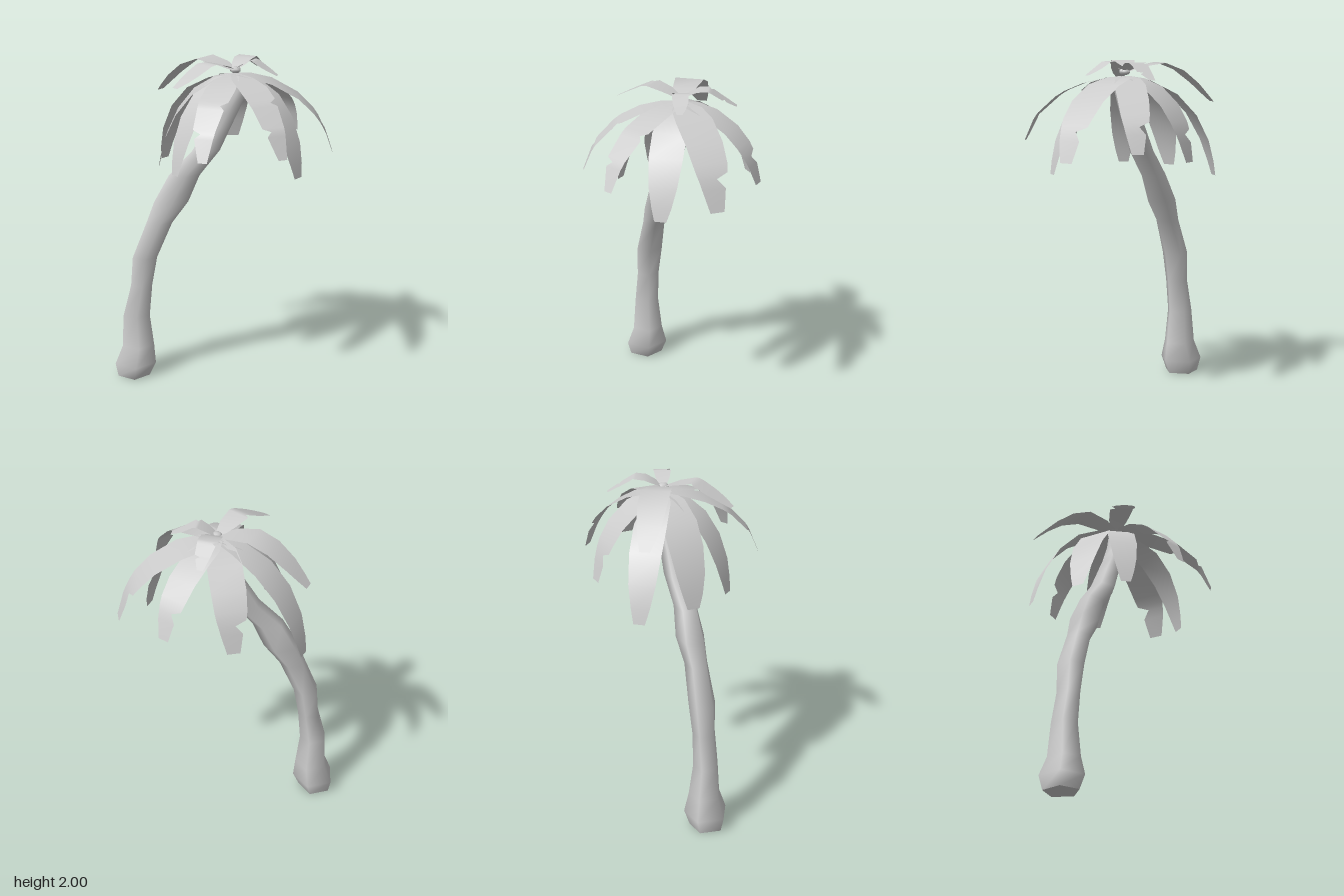
import * as THREE from 'three';

const CROWN = new THREE.Vector3(0.08, 1.91, -0.055);

function meshFrom(name, positions, index, material) {
  const geo = new THREE.BufferGeometry();
  geo.setAttribute('position', new THREE.Float32BufferAttribute(positions, 3));
  geo.setIndex(index);
  geo.computeVertexNormals();
  const mesh = new THREE.Mesh(geo, material);
  mesh.name = name;
  return mesh;
}

// Five-sided trunk lofted through level rings: [x, y, z, x radius, z radius]
function makeTrunk(material) {
  const rings = [
    [-0.546, 0, -0.042, 0.103, 0.107], [-0.535, 0.085, -0.043, 0.132, 0.134],
    [-0.516, 0.2, -0.043, 0.103, 0.097], [-0.523, 0.4, -0.04, 0.085, 0.077],
    [-0.488, 0.6, -0.04, 0.068, 0.071], [-0.465, 0.78, -0.042, 0.078, 0.083],
    [-0.375, 1, -0.04, 0.082, 0.07], [-0.302, 1.135, -0.043, 0.108, 0.086],
    [-0.222, 1.3, -0.04, 0.097, 0.068], [-0.09, 1.455, -0.042, 0.086, 0.074],
    [-0.015, 1.6, -0.045, 0.077, 0.066], [0.04, 1.7, -0.048, 0.069, 0.064],
    [0.1, 1.83, -0.052, 0.066, 0.062], [0.105, 1.9, -0.055, 0.055, 0.055],
  ];
  const sides = 5, pos = [], index = [];
  rings.forEach(([x, y, z, rx, rz], i) => {
    for (let j = 0; j < sides; j++) {
      const a = (j / sides) * Math.PI * 2 + 1.45;
      pos.push(x + Math.cos(a) * rx, y, z + Math.sin(a) * rz);
      if (i === 0) continue;
      const k = (j + 1) % sides, lo = (i - 1) * sides, hi = i * sides;
      index.push(lo + j, hi + j, lo + k, lo + k, hi + j, hi + k);
    }
  });
  // Flat underside with its own corners, so the base edge stays crisp
  const base = pos.length / 3;
  pos.push(...pos.slice(0, sides * 3));
  for (let j = 1; j < sides - 1; j++) index.push(base, base + j, base + j + 1);
  return meshFrom('trunk', pos, index, material);
}

// Arcs of a frond: [share of reach, share of drop]
const DROOP = [[0, 0], [0.3, 0.06], [0.58, 0.22], [0.8, 0.47], [0.93, 0.74], [1, 1]];
const ARCH = [[0, 0], [0.22, 0.04], [0.45, 0.065], [0.72, 0.03], [1, 0]];

// Outlines: [share of length, one half-width, other half-width], with torn notches
const OUTLINES = {
  hooked: [[0, 0.35, 0.35], [0.12, 0.8, 0.85], [0.28, 1, 1], [0.5, 0.98, 1], [0.66, 0.9, 0.93],
    [0.73, 0.82, 0.84], [0.77, 0.75, 0.2], [0.84, 0.65, 0.6], [1, 0.35, 0.4]],
  torn: [[0, 0.3, 0.3], [0.15, 0.8, 0.75], [0.32, 1, 1], [0.48, 1, 0.95], [0.52, 0.97, 0.5],
    [0.56, 0.93, 0.85], [0.75, 0.8, 0.7], [0.78, 0.25, 0.68], [0.82, 0.6, 0.64], [1, 0.15, 0.45]],
  whole: [[0, 0.35, 0.35], [0.15, 0.75, 0.82], [0.35, 1, 1], [0.55, 0.97, 1], [0.75, 0.8, 0.85],
    [0.9, 0.55, 0.6], [1, 0.35, 0.35]],
  nicked: [[0, 0.3, 0.3], [0.2, 0.8, 0.8], [0.4, 1, 1], [0.44, 0.55, 1], [0.5, 0.95, 0.95],
    [0.7, 0.85, 0.88], [0.86, 0.6, 0.65], [1, 0.35, 0.25]],
};

function makeFrond(name, [tipX, tipY, tipZ, width, style], upper, material) {
  const root = CROWN.clone();
  if (upper) root.y += 0.025;
  const dir = new THREE.Vector3(tipX - root.x, 0, tipZ - root.z);
  const reach = dir.length();
  dir.normalize();
  const path = new THREE.CatmullRomCurve3((upper ? ARCH : DROOP).map(([u, v]) => {
    const p = root.clone().addScaledVector(dir, u * reach);
    p.y += upper ? v + (tipY - root.y) * u * u * u : v * (tipY - root.y);
    return p;
  }), false, 'centripetal');
  const side = new THREE.Vector3(-dir.z, 0, dir.x);
  const pos = [], index = [];
  OUTLINES[style].forEach(([t, a, b], i) => {
    const c = path.getPointAt(t);
    for (const s of [a, -b]) {
      const p = c.clone().addScaledVector(side, s * width / 2);
      pos.push(p.x, p.y, p.z);
    }
    const n = i * 2;
    if (i) index.push(n - 2, n, n - 1, n - 1, n, n + 1);
  });
  return meshFrom(name, pos, index, material);
}

export function createModel() {
  const model = new THREE.Group();
  model.name = 'palmTree';
  const bark = new THREE.MeshStandardMaterial({ color: 0xcccccc });
  const leaf = new THREE.MeshStandardMaterial({ color: 0xcccccc, side: THREE.DoubleSide });

  model.add(makeTrunk(bark));

  // Drooping fronds: [tip x, tip y, tip z, width, outline]
  const lower = [
    [0.66, 1.45, -0.06, 0.22, 'hooked'],
    [0.44, 1.5, -0.395, 0.18, 'hooked'],
    [0.06, 1.43, -0.49, 0.2, 'hooked'],
    [-0.36, 1.31, -0.39, 0.19, 'whole'],
    [-0.37, 1.35, -0.06, 0.21, 'whole'],
    [-0.26, 1.36, 0.205, 0.17, 'whole'],
    [-0.1, 1.51, 0.48, 0.18, 'torn'],
    [0.35, 1.53, 0.48, 0.18, 'torn'],
    [0.455, 1.35, 0.2, 0.2, 'whole'],
  ];
  // Short arching fronds on top of the crown
  const upper = [
    [-0.38, 1.75, -0.36, 0.17, 'whole'],
    [-0.25, 1.88, 0.23, 0.14, 'nicked'],
    [0.23, 1.9, -0.34, 0.12, 'torn'],
    [0.33, 1.92, 0.04, 0.1, 'nicked'],
  ];
  const crown = new THREE.Group();
  crown.name = 'crown';
  lower.forEach((f, i) => crown.add(makeFrond(`lowerFrond${i + 1}`, f, false, leaf)));
  upper.forEach((f, i) => crown.add(makeFrond(`upperFrond${i + 1}`, f, true, leaf)));

  // Small flattened bud closing the centre of the crown
  const bud = new THREE.Mesh(new THREE.SphereGeometry(0.034, 7, 5), bark);
  bud.name = 'bud';
  bud.scale.y = 0.6;
  bud.position.set(0.085, 1.935, -0.05);
  crown.add(bud);
  model.add(crown);
  return model;
}
